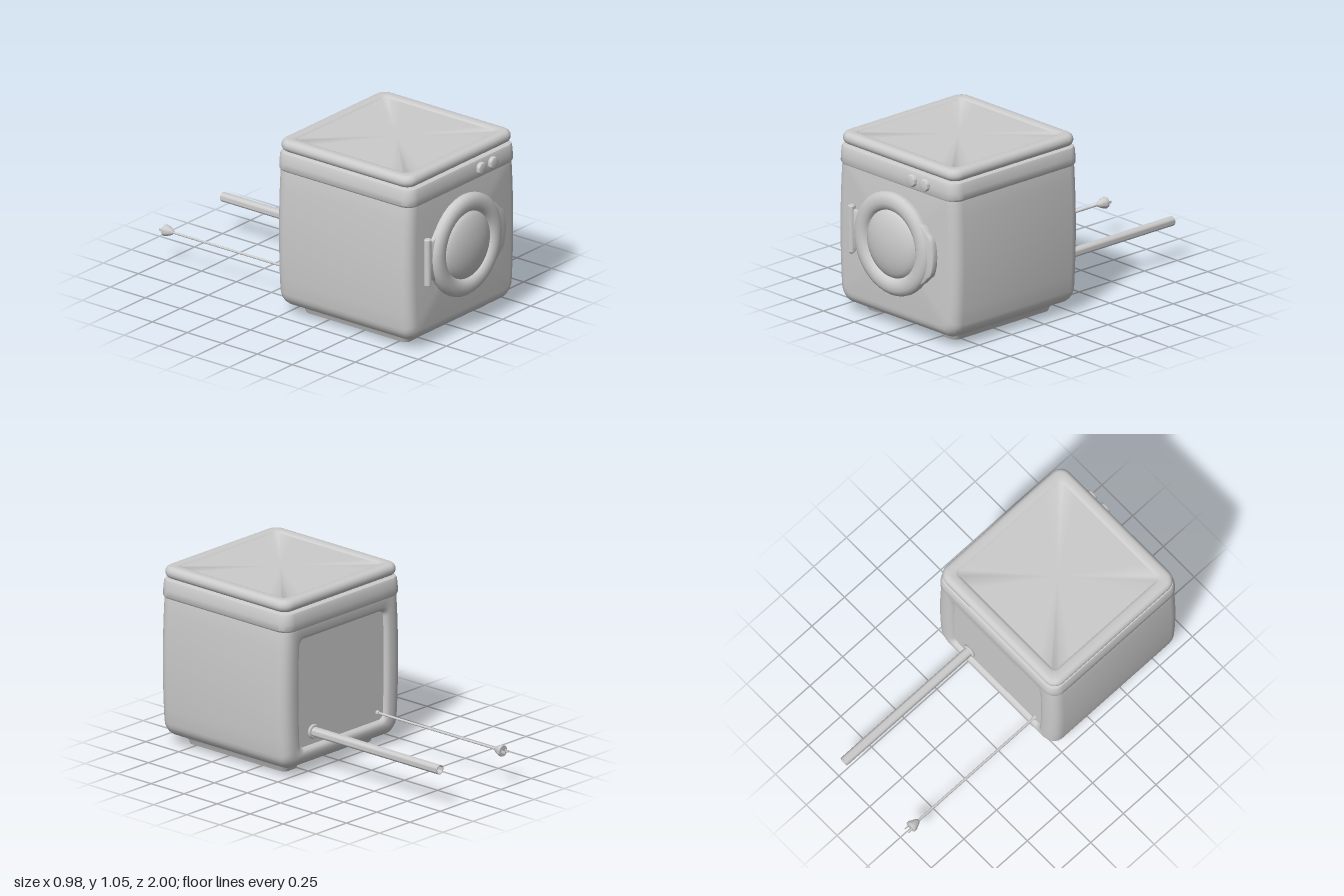
import * as THREE from 'three';
import { toCreasedNormals } from 'three/addons/utils/BufferGeometryUtils.js';

const material = new THREE.MeshStandardMaterial({ color: 0xcccccc });
const openMaterial = new THREE.MeshStandardMaterial({ color: 0xcccccc, side: THREE.DoubleSide });

// Rounded rectangle as a counter-clockwise loop, with a fixed point count.
function roundedLoop(cu, cv, hu, hv, r, arc = 6, edge = 8) {
  const loop = [];
  const corners = [[1, 1], [-1, 1], [-1, -1], [1, -1]];
  const at = (k, a) => [
    cu + corners[k][0] * (hu - r) + r * Math.cos(a),
    cv + corners[k][1] * (hv - r) + r * Math.sin(a)];
  for (let k = 0; k < 4; k++) {
    for (let i = 0; i <= arc; i++) loop.push(at(k, (k + i / arc) * Math.PI / 2));
    const a = (k + 1) * Math.PI / 2;
    const p = at(k, a), q = at((k + 1) % 4, a);
    for (let i = 1; i < edge; i++) {
      const f = i / edge;
      loop.push([p[0] + (q[0] - p[0]) * f, p[1] + (q[1] - p[1]) * f]);
    }
  }
  return loop;
}

// Closed skin through rings [t, cu, cv, hu, hv, r]; place turns (u, v, t) into [x, y, z].
function loft(rings, place) {
  const pos = [], index = [];
  const n = roundedLoop(0, 0, 1, 1, 0.1).length;
  for (const [t, ...rect] of rings) {
    for (const [u, v] of roundedLoop(...rect)) pos.push(...place(u, v, t));
  }
  const last = rings.length - 1;
  for (let k = 0; k < last; k++) {
    for (let i = 0; i < n; i++) {
      const a = k * n + i, b = k * n + (i + 1) % n;
      index.push(a, b, b + n, a, b + n, a + n);
    }
  }
  const start = pos.length / 3;
  for (const k of [0, last]) pos.push(...place(rings[k][1], rings[k][2], rings[k][0]));
  for (let i = 0; i < n; i++) {
    const j = (i + 1) % n;
    index.push(start, j, i, start + 1, last * n + i, last * n + j);
  }
  const g = new THREE.BufferGeometry();
  g.setAttribute('position', new THREE.Float32BufferAttribute(pos, 3));
  g.setIndex(index);
  return toCreasedNormals(g, 0.7);
}

const alongY = (u, v, t) => [v, t, u];
const bulge = (y) => 1 - 0.04 * ((y - 0.5) / 0.42) ** 2;
const alongZ = (u, v, t) => [u * bulge(v), v, t];

// Surface of revolution about the z axis.
function latheZ(points, sides) {
  const g = new THREE.LatheGeometry(points.map(([r, h]) => new THREE.Vector2(r, h)), sides);
  return toCreasedNormals(g.rotateX(Math.PI / 2), 0.7);
}

export function createModel() {
  const model = new THREE.Group();
  const add = (name, geometry, x = 0, y = 0, z = 0, mat = material, parent = model) => {
    const mesh = new THREE.Mesh(geometry, mat);
    mesh.name = name;
    mesh.position.set(x, y, z);
    parent.add(mesh);
    return mesh;
  };

  // Body: skinned from the recessed back panel to the front face
  const box = (t, hx, y0, y1, r) => [t, 0, (y0 + y1) / 2, hx, (y1 - y0) / 2, r];
  const inset = (t, d) => box(t, 0.49 - d, 0.05 + d, 0.96 - d, 0.085 - d * 0.5);
  const edge = [0, 1, 2, 3, 4, 5].map((i) => i / 5 * Math.PI / 2);
  add('body', loft([
    box(-0.015, 0.355, 0.16, 0.80, 0.035),
    box(-0.022, 0.36, 0.155, 0.805, 0.04),
    box(-0.034, 0.368, 0.147, 0.813, 0.045),
    box(-0.04, 0.385, 0.135, 0.83, 0.05),
    ...edge.map((a) => inset(0.03 - 0.07 * Math.cos(a), 0.07 * (1 - Math.sin(a)))),
    ...edge.map((a) => inset(0.85 + 0.07 * Math.sin(a), 0.07 * (1 - Math.cos(a)))),
  ], alongZ));

  // Control band around the top, with the neck under the lid
  const slab = (t, hx, hz, r) => [t, 0.44, 0, hz, hx, r];
  add('controlBand', loft([
    slab(0.868, 0.46, 0.465, 0.06),
    slab(0.872, 0.474, 0.48, 0.07),
    slab(0.885, 0.484, 0.486, 0.075),
    slab(0.92, 0.483, 0.486, 0.075),
    slab(0.965, 0.477, 0.483, 0.07),
    slab(0.978, 0.472, 0.477, 0.066),
    slab(0.983, 0.46, 0.465, 0.06),
    slab(0.983, 0.432, 0.44, 0.05),
    slab(1.0, 0.432, 0.44, 0.05),
  ], alongY));

  // Lid with a shallow sunken top panel
  const lidEdge = [...Array(9).keys()].map((i) => (i / 8 - 0.5) * Math.PI);
  add('lid', loft([
    slab(0.986, 0.42, 0.42, 0.04),
    ...lidEdge.map((a) => slab(1.02 + 0.034 * Math.sin(a),
      0.445 + 0.03 * Math.cos(a), 0.445 + 0.03 * Math.cos(a), 0.04 + 0.03 * Math.cos(a))),
    slab(1.054, 0.415, 0.415, 0.04),
    slab(1.05, 0.405, 0.405, 0.035),
    slab(1.044, 0.398, 0.398, 0.03),
  ], alongY));

  // Base plate and two long runners
  add('basePlate', loft([
    slab(0.027, 0.27, 0.34, 0.03), slab(0.07, 0.28, 0.35, 0.03),
  ], alongY));
  for (const s of [1, -1]) {
    const foot = (t, w, l, r) => [t, 0.44, s * 0.305, l, w, r];
    add(s > 0 ? 'leftRunner' : 'rightRunner', loft([
      foot(0, 0.05, 0.355, 0.03),
      foot(0.004, 0.06, 0.365, 0.035),
      foot(0.02, 0.066, 0.372, 0.04),
      foot(0.04, 0.075, 0.38, 0.045),
      foot(0.07, 0.09, 0.388, 0.05),
    ], alongY));
  }

  // Door: ring with a domed window
  const door = new THREE.Group();
  door.name = 'door';
  door.position.set(0, 0.516, 0.92);
  model.add(door);
  add('doorRing', latheZ([[0.296, -0.01], [0.302, 0.015], [0.3, 0.03], [0.288, 0.045],
    [0.268, 0.054], [0.24, 0.056], [0.218, 0.05], [0.203, 0.038], [0.196, 0.025]], 40),
  0, 0, 0, material, door);
  add('doorWindow', latheZ([[0.2, 0.025], [0.193, 0.036], [0.17, 0.05], [0.135, 0.063],
    [0.09, 0.073], [0.045, 0.078], [0, 0.08]], 40), 0, 0, 0, material, door);

  // Side tabs of the door: handle and hinge plate, each mirrored top to bottom
  const tab = (half, depth) => {
    const pts = [...half, ...half.map(([x, y]) => [x, -y]).reverse()];
    const curve = new THREE.CatmullRomCurve3(pts.map(([x, y]) => new THREE.Vector3(x, y, 0)));
    const shape = new THREE.Shape(curve.getPoints(32).map((p) => new THREE.Vector2(p.x, p.y)));
    const g = new THREE.ExtrudeGeometry(shape, {
      depth, bevelSize: 0.006, bevelThickness: 0.01, bevelOffset: -0.006, bevelSegments: 3 });
    return toCreasedNormals(g, 0.7);
  };
  add('handle', tab([[0.2, 0.2], [0.255, 0.17], [0.29, 0.135], [0.318, 0.11], [0.338, 0.04]], 0.025),
    0, 0, 0, material, door);
  add('hingePlate', tab([[-0.2, 0.19], [-0.25, 0.165], [-0.28, 0.125], [-0.3, 0.117],
    [-0.335, 0.115]], 0.012), 0, 0, 0, material, door);
  const pin = [[0, -0.142], [0.015, -0.142], [0.021, -0.136], [0.021, 0.136], [0.015, 0.142], [0, 0.142]];
  add('hingePin', latheZ(pin, 16).rotateX(-Math.PI / 2), -0.338, 0, 0.018, material, door);

  // Control knobs
  const knob = latheZ([[0.036, -0.01], [0.036, 0.014], [0.032, 0.021], [0.022, 0.024], [0, 0.025]], 24);
  for (const x of [0.145, 0.25]) add('knob', knob, x, 0.927, 0.924);

  // Drain hose: open pipe with a collar at the back panel
  const hose = add('drainHose', latheZ([[0.023, 0.06], [0.023, 0], [0.028, 0], [0.028, 0.97]], 20),
    0.23, 0.235, -0.98, openMaterial);
  hose.geometry.computeBoundingSphere();
  add('hoseCollar', new THREE.TorusGeometry(0.033, 0.01, 8, 24), 0.23, 0.235, -0.022);

  // Power cord with plug and two prongs
  const cord = new THREE.Group();
  cord.name = 'powerCord';
  cord.position.set(-0.3, 0.207, 0);
  model.add(cord);
  add('cord', latheZ([[0.007, -0.93], [0.007, -0.01]], 10), 0, 0, 0, material, cord);
  add('cordCollar', latheZ([[0, -0.035], [0.012, -0.032], [0.014, -0.01]], 12), 0, 0, 0, material, cord);
  add('plug', latheZ([[0, -0.972], [0.032, -0.972], [0.034, -0.965], [0.031, -0.95],
    [0.022, -0.93], [0.014, -0.915], [0.007, -0.908]], 14), 0, 0, 0, material, cord);
  for (const x of [-0.015, 0.015]) {
    add('prong', new THREE.BoxGeometry(0.005, 0.014, 0.034), x, 0, -0.983, material, cord);
  }

  return model;
}
